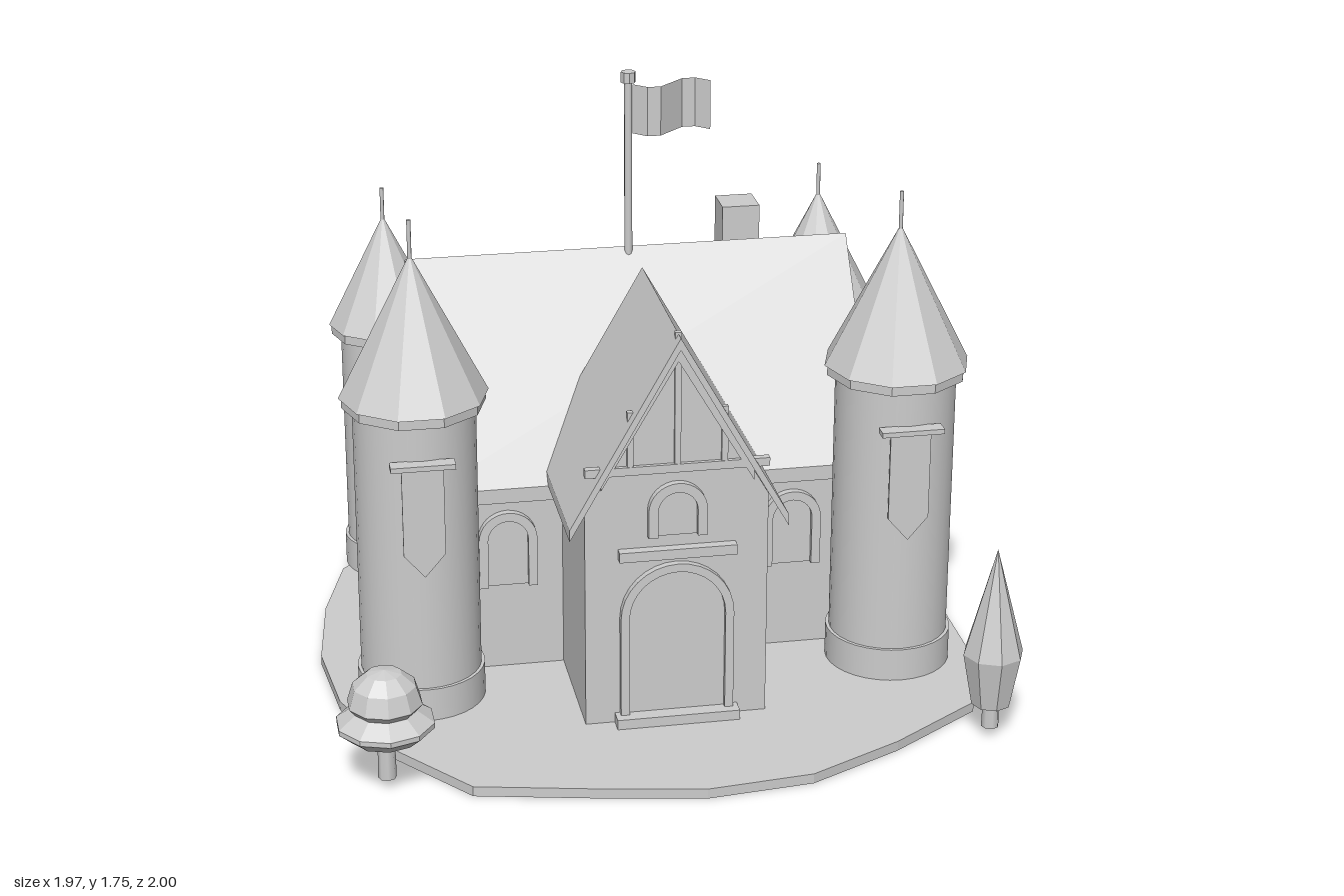
import * as THREE from 'three';

const CX = 0.013; // middle of the castle

export function createModel() {
  const root = new THREE.Group();
  root.name = 'castle';
  const stone = new THREE.MeshStandardMaterial({ color: 0xcccccc });
  stone.name = 'stone grey';
  const cloth = new THREE.MeshStandardMaterial({ color: 0xcccccc, side: THREE.DoubleSide });
  cloth.name = 'cloth grey';

  // Helpers
  const add = (name, geo, x = 0, y = 0, z = 0, parent = root, mat = stone) => {
    const m = new THREE.Mesh(geo, mat);
    m.name = name;
    m.position.set(x, y, z);
    parent.add(m);
    return m;
  };
  const group = (name, x, y, z) => {
    const g = new THREE.Group();
    g.name = name;
    g.position.set(x, y, z);
    root.add(g);
    return g;
  };
  const flat = (geo) => {
    const g = geo.index ? geo.toNonIndexed() : geo;
    g.computeVertexNormals();
    return g;
  };
  const box = (name, x0, x1, y0, y1, z0, z1) =>
    add(name, new THREE.BoxGeometry(x1 - x0, y1 - y0, z1 - z0), (x0 + x1) / 2, (y0 + y1) / 2, (z0 + z1) / 2);
  const poly = (pts) => new THREE.Shape(pts.map(([x, y]) => new THREE.Vector2(x, y)));
  const extrude = (shape, depth) =>
    new THREE.ExtrudeGeometry(shape, { depth, bevelEnabled: false, curveSegments: 8 });
  // Gabled wall and gabled roof cross-sections
  const gable = (w, y0, eave, top) => poly([[-w, y0], [w, y0], [w, eave], [0, top], [-w, eave]]);
  const chevron = (w, eave, top, t) =>
    poly([[-w, eave - t], [0, top - t], [w, eave - t], [w, eave], [0, top], [-w, eave]]);
  // Low-poly turned form, pts are [radius, height]
  const turned = (pts, sides) =>
    flat(new THREE.LatheGeometry(pts.map(([r, y]) => new THREE.Vector2(r, y)), sides));

  // Ground slab
  const ground = poly([
    [0.02, -1], [0.33, -0.99], [0.62, -0.84], [0.85, -0.6], [0.95, -0.31], [0.97, 0], [0.97, 0.3],
    [0.89, 0.64], [0.61, 0.83], [0.33, 0.97], [0.02, 1], [-0.3, 0.94], [-0.62, 0.87], [-0.83, 0.6],
    [-0.94, 0.3], [-0.97, 0], [-0.93, -0.32], [-0.85, -0.6], [-0.61, -0.85], [-0.3, -0.97],
  ]);
  add('ground', extrude(ground, 0.03), 0, 0.03, 0).rotation.x = Math.PI / 2;

  // Towers
  const tower = (name, x, z, r, capR, eave, top, tip) => {
    const g = group(name, x, 0, z);
    const cyl = (part, r0, y0, y1) =>
      add(part, new THREE.CylinderGeometry(r0, r0, y1 - y0, 32), 0, (y0 + y1) / 2, 0, g);
    cyl('towerShaft', r, 0.03, eave - 0.02);
    cyl('towerPlinth', r + 0.01, 0.03, 0.13);
    const cap = turned([[0, eave - 0.03], [capR * 0.96, eave - 0.03], [capR * 0.96, eave], [capR, eave], [0, top]], 10);
    add('towerRoof', cap, 0, 0, 0, g).rotation.y = Math.PI / 2;
    add('spire', new THREE.CylinderGeometry(0.006, 0.006, tip - top + 0.03, 8), 0, (tip + top - 0.03) / 2, 0, g);
  };
  for (const [side, s] of [['left', 1], ['right', -1]]) {
    const x = CX + s * 0.707;
    tower(side + 'FrontTower', x, 0.28, 0.177, 0.215, 0.98, 1.4, 1.5);
    tower(side + 'BackTower', CX + s * 0.694, -0.655, 0.142, 0.178, 0.85, 1.2, 1.29);

    // Banner hung on the front tower
    box(side + 'BannerRod', x - 0.092, x + 0.092, 0.83, 0.845, 0.45, 0.495);
    const banner = poly([[-0.06, 0.835], [-0.06, 0.56], [0, 0.49], [0.06, 0.56], [0.06, 0.835]]);
    add(side + 'Banner', extrude(banner, 0.008), x, 0, 0.46);

    // Crenellated side wall
    const x0 = CX + s * 0.71 - 0.038;
    box(side + 'Wall', x0, x0 + 0.076, 0.03, 0.52, -0.6, 0.2);
    for (let i = 0; i < 7; i++) {
      const z = 0.09 - i * 0.114;
      box(side + 'Merlon', x0, x0 + 0.076, 0.52, 0.567, z - 0.03, z + 0.03);
    }
  }

  // Great hall
  add('hallWalls', extrude(gable(0.37, 0.03, 0.67, 1.17), 1.29), CX - 0.645, 0, -0.21).rotation.y = Math.PI / 2;
  add('hallRoof', extrude(chevron(0.43, 0.635, 1.21, 0.045), 1.344), CX - 0.672, 0, -0.21).rotation.y = Math.PI / 2;
  box('chimney', 0.33, 0.445, 0.75, 1.27, -0.455, -0.34);

  // Gatehouse
  add('gatehouseWalls', extrude(gable(0.265, 0.03, 0.72, 1.18), 0.51), CX, 0, 0.06);
  add('gatehouseRoof', extrude(chevron(0.315, 0.67, 1.225, 0.035), 0.59), CX, 0, 0.025);

  // Timber framing in the gable
  add('gableRafters', extrude(chevron(0.22, 0.815, 1.19, 0.045), 0.02), CX, 0, 0.565);
  box('gableBeam', CX - 0.265, CX + 0.265, 0.81, 0.835, 0.56, 0.582);
  for (const [dx, top] of [[-0.135, 1.0], [0, 1.23], [0.135, 1.0]]) {
    box('gablePost', CX + dx - 0.009, CX + dx + 0.009, 0.82, top, 0.563, 0.58);
  }

  // Arched openings: a raised frame around a thin panel
  const arch = (name, x, y, z, w, h, t) => {
    const g = group(name, x, y, z);
    const frame = new THREE.Shape();
    frame.moveTo(-w, 0);
    frame.lineTo(-w, h - w);
    frame.absarc(0, h - w, w, Math.PI, 0, true);
    frame.lineTo(w, 0);
    frame.lineTo(w - t, 0);
    frame.lineTo(w - t, h - w);
    frame.absarc(0, h - w, w - t, 0, Math.PI, false);
    frame.lineTo(t - w, 0);
    add(name + 'Frame', extrude(frame, 0.025), 0, 0, 0, g);
    const panel = new THREE.Shape();
    panel.moveTo(t - w, 0);
    panel.lineTo(w - t, 0);
    panel.lineTo(w - t, h - w);
    panel.absarc(0, h - w, w - t, 0, Math.PI, false);
    add(name + 'Panel', extrude(panel, 0.008), 0, 0, 0, g);
  };
  arch('door', CX, 0.03, 0.567, 0.165, 0.5, 0.025);
  arch('gateWindow', CX, 0.615, 0.567, 0.085, 0.165, 0.028);
  arch('leftWindow', CX + 0.43, 0.3, 0.158, 0.087, 0.24, 0.027);
  arch('rightWindow', CX - 0.43, 0.3, 0.158, 0.087, 0.24, 0.027);
  box('doorLintel', CX - 0.17, CX + 0.17, 0.55, 0.58, 0.56, 0.6);
  box('doorStep', CX - 0.18, CX + 0.18, 0, 0.06, 0.56, 0.62);

  // Flagpole with waving flag
  add('flagpole', new THREE.CylinderGeometry(0.012, 0.012, 0.6, 10), CX, 1.43, -0.205);
  add('flagpoleKnob', flat(new THREE.CylinderGeometry(0.022, 0.022, 0.032, 8)), CX, 1.737, -0.205);
  const flag = new THREE.PlaneGeometry(0.235, 0.15, 6, 1);
  const p = flag.attributes.position;
  for (let i = 0; i < p.count; i++) {
    const u = p.getX(i) / 0.235 + 0.5;
    p.setZ(i, 0.043 * Math.sin(u * Math.PI * 2));
  }
  add('flag', flat(flag), 0.142, 1.64, -0.2, root, cloth);

  // Round two-tier tree
  const round = group('roundTree', -0.848, 0, 0.77);
  add('roundTreeTrunk', new THREE.CylinderGeometry(0.024, 0.026, 0.16, 8), 0, 0.11, 0, round);
  add('lowerFoliage', turned([[0, 0.16], [0.1, 0.16], [0.14, 0.195], [0.14, 0.21], [0.09, 0.245], [0, 0.25]], 10), 0, 0, 0, round);
  add('upperFoliage', turned([[0, 0.24], [0.09, 0.245], [0.107, 0.265], [0.09, 0.32], [0.05, 0.355], [0, 0.365]], 10), 0, 0, 0, round);

  // Pointed tree
  const pointed = group('pointedTree', 0.896, 0, 0.783);
  add('pointedTreeTrunk', new THREE.CylinderGeometry(0.024, 0.026, 0.1, 8), 0, 0.08, 0, pointed);
  add('pointedFoliage', turned([[0, 0.105], [0.058, 0.105], [0.088, 0.265], [0, 0.59]], 8), 0, 0, 0, pointed);

  return root;
}
